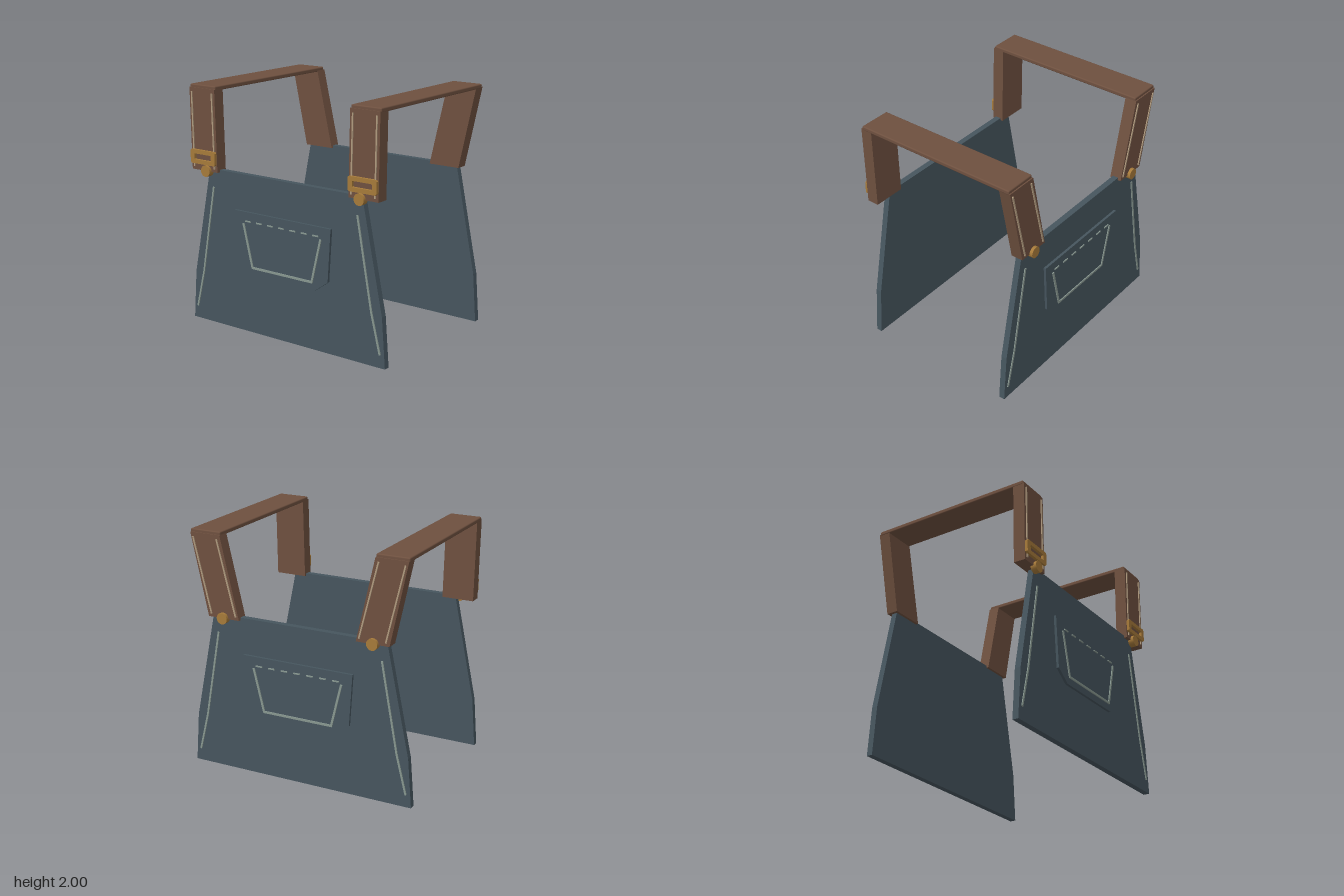
import * as THREE from 'three';
import { RoundedBoxGeometry } from 'three/addons/geometries/RoundedBoxGeometry.js';

const paint = (name, color) => {
  const m = new THREE.MeshStandardMaterial({ color });
  m.name = name;
  return m;
};

export function createModel() {
  const denim = paint('denim', 0x46555e);
  const leather = paint('leather', 0x6e503f);
  const brass = paint('brass', 0xa67a3a);
  const thread = paint('greyThread', 0x87968f);
  const tanThread = paint('tanThread', 0xb09a7e);

  const model = new THREE.Group();
  model.name = 'bibWithStraps';

  const add = (parent, name, geometry, material) => {
    const mesh = new THREE.Mesh(geometry, material);
    mesh.name = name;
    parent.add(mesh);
    return mesh;
  };

  // Flat outline extruded from z0 to z1, with optional holes
  const slab = (points, z0, z1, holes = []) => {
    const toVectors = (list) => list.map(([x, y]) => new THREE.Vector2(x, y));
    const shape = new THREE.Shape(toVectors(points));
    for (const hole of holes) shape.holes.push(new THREE.Path(toVectors(hole)));
    return new THREE.ExtrudeGeometry(shape, { depth: z1 - z0, bevelEnabled: false }).translate(0, 0, z0);
  };

  // Raised thread running along a list of points
  const stitch = (parent, name, points, width, z, material) => {
    for (let i = 0; i < points.length - 1; i++) {
      const [ax, ay] = points[i];
      const [bx, by] = points[i + 1];
      const length = Math.hypot(bx - ax, by - ay) + width * 0.5;
      const line = add(parent, name, new THREE.BoxGeometry(length, width, 0.009), material);
      line.position.set((ax + bx) / 2, (ay + by) / 2, z + 0.0035);
      line.rotation.z = Math.atan2(by - ay, bx - ax);
    }
  };

  // Rectangle with clipped corners
  const clippedRect = (x0, x1, y0, y1, c) => [
    [x0 + c, y0], [x1 - c, y0], [x1, y0 + c], [x1, y1 - c],
    [x1 - c, y1], [x0 + c, y1], [x0, y1 - c], [x0, y0 + c],
  ];

  // One side of the garment; the back is the same thing turned around
  const buildSide = (isFront) => {
    const side = new THREE.Group();
    side.name = isFront ? 'frontSide' : 'backSide';

    add(side, 'panel', slab([
      [-0.985, 0], [0.985, 0], [0.953, 0.41], [0.765, 1.32], [-0.765, 1.32], [-0.953, 0.41],
    ], 0.637, 0.687), denim);

    // Pocket with its seam and dashed hem
    add(side, 'pocket', slab([
      [-0.485, 1.02], [-0.456, 0.59], [-0.33, 0.5], [0.33, 0.5], [0.456, 0.59], [0.485, 1.02],
    ], 0.68, 0.708), denim);
    stitch(side, 'pocketSeam', [[-0.39, 0.92], [-0.303, 0.565], [0.303, 0.565], [0.39, 0.92]], 0.018, 0.708, thread);
    for (let i = -3; i <= 3; i++) {
      const x = i * 0.114;
      stitch(side, 'pocketHemDash', [[x - 0.026, 0.945], [x + 0.026, 0.945]], 0.01, 0.708, thread);
    }

    for (const s of [-1, 1]) {
      stitch(side, 'sideSeam', [[s * 0.725, 1.165], [s * 0.858, 0.43], [s * 0.938, 0.11]], 0.016, 0.687, thread);

      // Strap leg: nearly upright in front, leaning inward at the back
      const inner = isFront ? 0.658 : 0.515;
      const outer = isFront ? 0.932 : 0.795;
      add(side, 'strapLeg', slab([
        [s * inner, 1.3], [s * outer, 1.3], [s * 0.942, 1.975], [s * 0.672, 1.975],
      ], 0.615, 0.715), leather);
      for (const inset of [0.1, 0.9]) {
        const bottom = THREE.MathUtils.lerp(inner, outer, inset);
        const top = THREE.MathUtils.lerp(0.672, 0.942, inset);
        stitch(side, 'strapSeam', [[s * bottom, 1.33], [s * top, 1.94]], 0.012, 0.715, tanThread);
      }

      // Round stud at the foot of the strap
      const stud = add(side, 'stud', new THREE.CylinderGeometry(0.047, 0.047, 0.05, 20), brass);
      stud.rotation.x = Math.PI / 2;
      stud.position.set(s * (isFront ? 0.77 : 0.66), 1.303, 0.715);

      if (isFront) {
        const buckle = add(side, 'buckle', slab(
          clippedRect(-0.132, 0.132, -0.058, 0.058, 0.012), 0.7, 0.738,
          [clippedRect(-0.09, 0.09, -0.024, 0.024, 0.005)],
        ), brass);
        buckle.position.set(s * 0.797, 1.413, 0);
      }
    }
    if (!isFront) side.rotation.y = Math.PI;
    model.add(side);
  };
  buildSide(true);
  buildSide(false);

  // Shoulder bands joining front and back legs
  for (const s of [-1, 1]) {
    const band = add(model, 'shoulderBand', new RoundedBoxGeometry(0.272, 0.036, 1.41, 2, 0.01), leather);
    band.position.set(s * 0.808, 1.982, 0);
  }
  return model;
}
